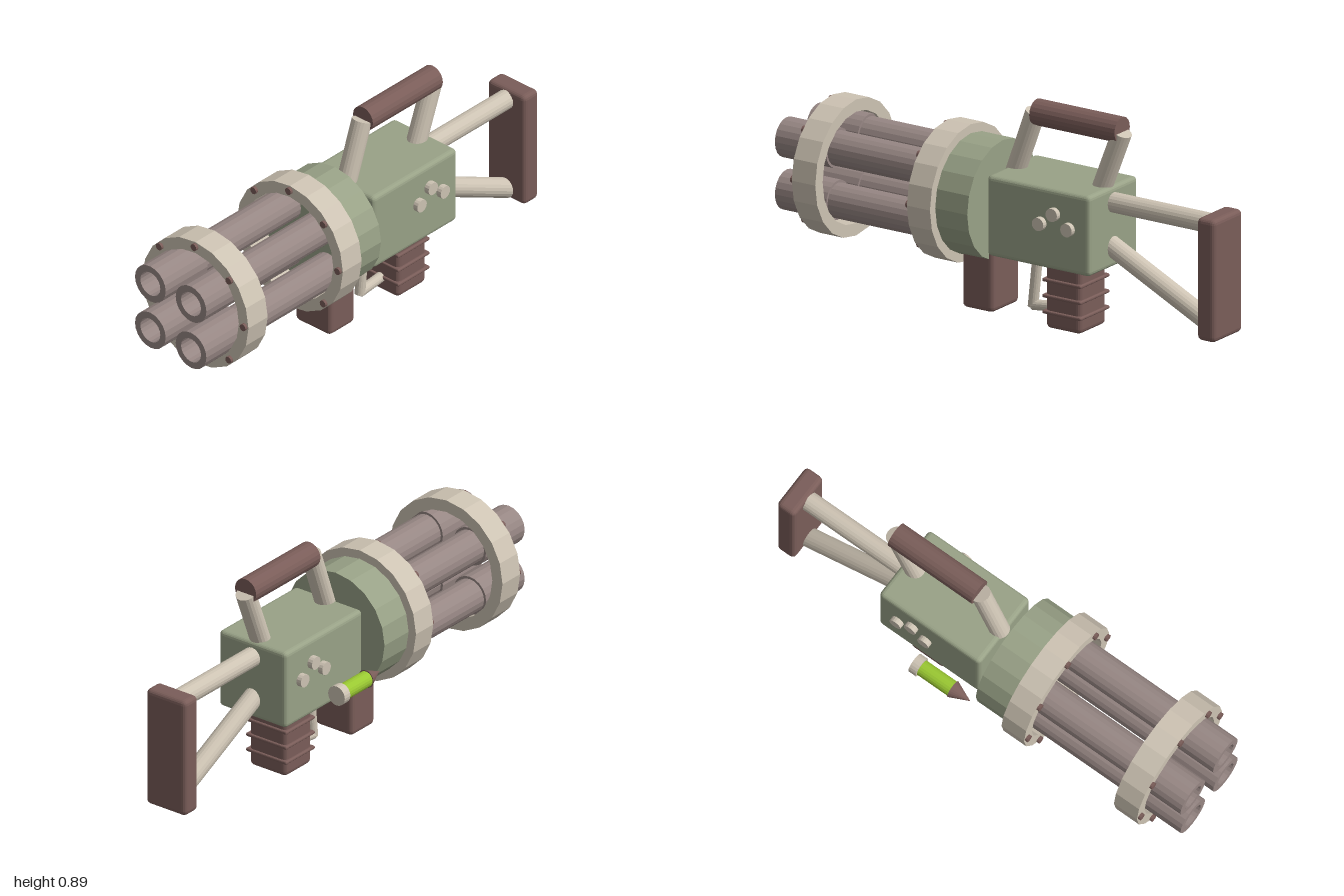
import * as THREE from 'three';
import { RoundedBoxGeometry } from 'three/addons/geometries/RoundedBoxGeometry.js';

const paint = (name, color) => {
  const m = new THREE.MeshStandardMaterial({ color, flatShading: true });
  m.name = name;
  return m;
};

export function createModel() {
  const green = paint('sage green', 0x99a287);
  const brown = paint('dark brown', 0x7a5d59);
  const cream = paint('cream', 0xcdc3b3);
  const mauve = paint('mauve grey', 0x978784);
  const lime = paint('lime green', 0x9ac832);

  const model = new THREE.Group();
  model.name = 'rotaryBlaster';
  const AXIS_Y = 0.452;

  const add = (name, geometry, material, x = 0, y = 0, z = 0) => {
    const mesh = new THREE.Mesh(geometry, material);
    mesh.name = name;
    mesh.position.set(x, y, z);
    model.add(mesh);
    return mesh;
  };

  // Rounded block given by its size and centre
  const block = (name, material, [w, h, d], [x, y, z], r) =>
    add(name, new RoundedBoxGeometry(w, h, d, 2, r), material, x, y, z);

  // Round rod between two points
  const rod = (name, material, from, to, r, sides = 20) => {
    const a = new THREE.Vector3(...from), b = new THREE.Vector3(...to);
    const dir = b.clone().sub(a);
    const mesh = add(name, new THREE.CylinderGeometry(r, r, dir.length(), sides), material);
    mesh.position.copy(a).add(b).multiplyScalar(0.5);
    mesh.quaternion.setFromUnitVectors(new THREE.Vector3(0, 1, 0), dir.normalize());
    return mesh;
  };

  // Solid turned around the z axis from [radius, z] points
  const turned = (name, material, points, x, y, sides = 20) => {
    const g = new THREE.LatheGeometry(points.map(p => new THREE.Vector2(...p)), sides);
    return add(name, g.rotateX(Math.PI / 2), material, x, y, 0);
  };

  // Receiver and drum
  block('body', green, [0.33, 0.326, 0.482], [0, 0.437, -0.219], 0.018);
  rod('drum', green, [0, AXIS_Y, 0.06], [0, AXIS_Y, 0.215], 0.24);

  // Two clamp rings, each with eight bolts
  for (const [name, z0, z1] of [['rearRing', 0.21, 0.318], ['frontRing', 0.748, 0.858]]) {
    turned(name, cream, [[0.226, z0], [0.276, z0], [0.276, z1], [0.226, z1], [0.226, z0]], 0, AXIS_Y);
    for (let i = 0; i < 8; i++) {
      const a = i * Math.PI / 4;
      const x = 0.256 * Math.cos(a), y = AXIS_Y + 0.256 * Math.sin(a);
      rod(name + 'Bolt', brown, [x, y, z1 - 0.01], [x, y, z1 + 0.012], 0.015, 12);
    }
  }

  // Four hollow barrels with thicker muzzles
  for (const sx of [-1, 1]) for (const sy of [-1, 1]) {
    turned('barrel', mauve, [
      [0, 0.2], [0.07, 0.2], [0.07, 0.76], [0.08, 0.76], [0.08, 1],
      [0.052, 1], [0.052, 0.86], [0, 0.86],
    ], sx * 0.106, AXIS_Y + sy * 0.106);
  }

  // Carrying handle
  rod('handleFrontPost', cream, [0, 0.577, 0], [0, 0.836, -0.094], 0.04);
  rod('handleRearPost', cream, [0, 0.577, -0.402], [0, 0.828, -0.5], 0.04);
  rod('handleBar', brown, [0, 0.837, -0.1], [0, 0.837, -0.5], 0.052);

  // Shoulder stock
  rod('stockUpperRod', cream, [0, 0.537, -0.44], [0, 0.537, -0.93], 0.04);
  rod('stockLowerRod', cream, [0, 0.365, -0.44], [0, 0.128, -0.925], 0.04);
  block('buttPad', brown, [0.196, 0.497, 0.085], [0, 0.337, -0.9575], 0.02);

  // Front grip block and ribbed pistol grip
  block('frontGrip', brown, [0.184, 0.3, 0.148], [0, 0.165, 0.117], 0.02);
  block('pistolGrip', brown, [0.18, 0.3, 0.165], [0, 0.153, -0.283], 0.02);
  for (const y of [0.07, 0.135, 0.2]) {
    block('gripRib', brown, [0.2, 0.014, 0.182], [0, y, -0.283], 0.006);
  }

  // Trigger guard
  rod('guardPost', cream, [0, 0.29, -0.108], [0, 0.045, -0.082], 0.021, 16);
  rod('guardBar', cream, [0, 0.052, -0.082], [0, 0.066, -0.215], 0.021, 16);

  // Three buttons on each side
  for (const s of [-1, 1]) {
    for (const [y, z] of [[0.454, -0.233], [0.503, -0.297], [0.454, -0.366]]) {
      rod('sideButton', cream, [s * 0.155, y, z], [s * 0.187, y, z], 0.027, 16);
    }
  }

  // Dart beside the body
  const dx = -0.237, dy = 0.352;
  rod('dartCap', cream, [dx, dy, -0.235], [dx, dy, -0.2], 0.041);
  rod('dartShaft', lime, [dx, dy, -0.2], [dx, dy, -0.05], 0.033);
  turned('dartTip', brown, [[0, -0.052], [0.037, -0.052], [0, 0.032]], dx, dy);

  return model;
}
